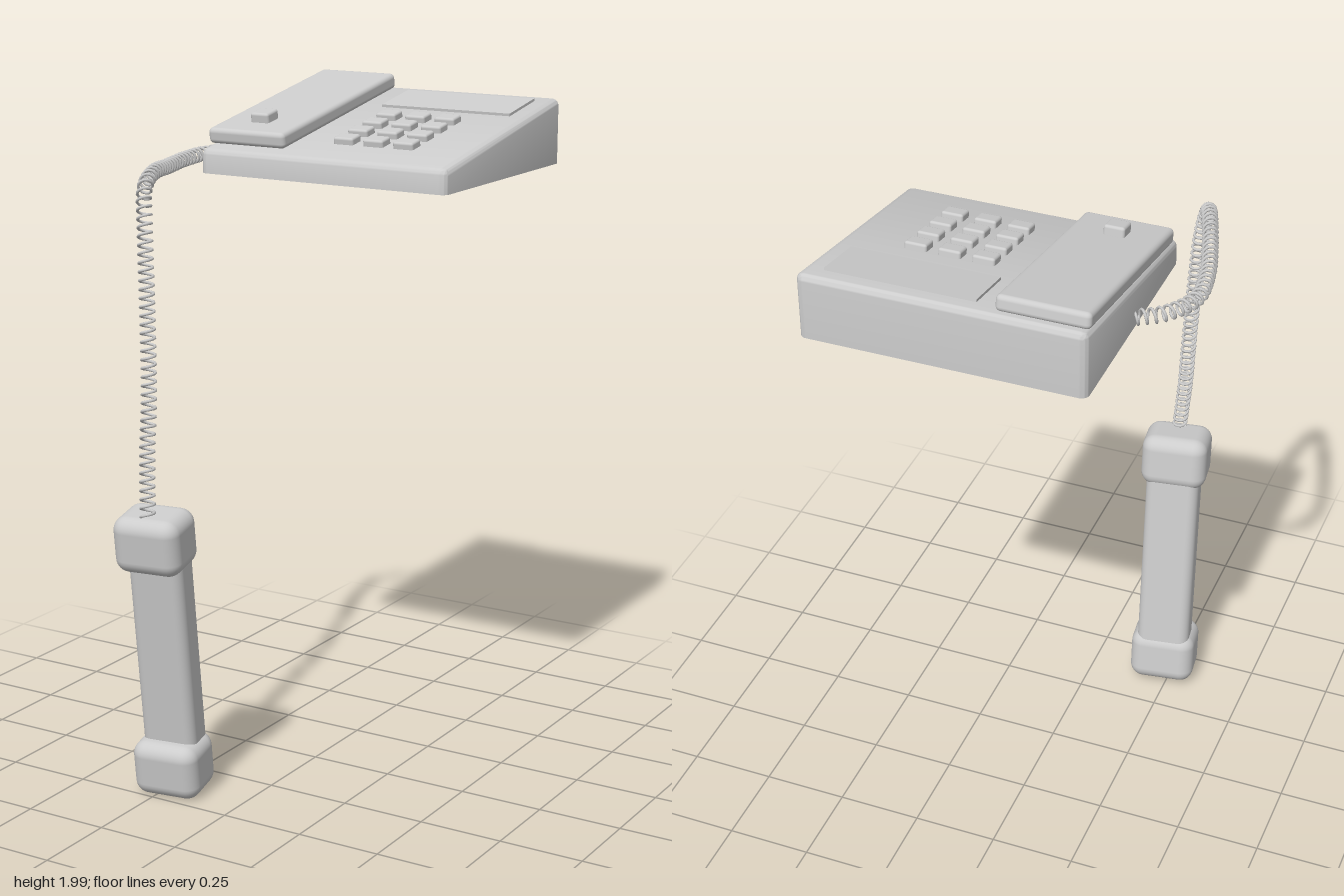
import * as THREE from 'three';
import { toCreasedNormals } from 'three/addons/utils/BufferGeometryUtils.js';
import { RoundedBoxGeometry } from 'three/addons/geometries/RoundedBoxGeometry.js';

const grey = new THREE.MeshStandardMaterial({ color: 0xcccccc });
grey.name = 'light grey plastic';

function add(parent, name, geometry, x = 0, y = 0, z = 0) {
  const mesh = new THREE.Mesh(geometry, grey);
  mesh.name = name;
  mesh.position.set(x, y, z);
  parent.add(mesh);
  return mesh;
}

const rounded = (w, h, d, r, segments = 3) => new RoundedBoxGeometry(w, h, d, segments, r);

const SLOPE = 0.173;

// Wedge body: a flat rounded box with its upper half raised towards the back
// and its lower half flattened to a sharp-edged underside.
function wedgeGeometry() {
  const w = 0.795, h = 0.07, d = 0.71;
  const geometry = rounded(w, h, d, 0.022, 4);
  const p = geometry.attributes.position;
  for (let i = 0; i < p.count; i++) {
    if (p.getY(i) > 0) p.setY(i, p.getY(i) + (d / 2 - p.getZ(i)) * SLOPE);
    else p.setY(i, -h / 2);
  }
  return toCreasedNormals(geometry, 0.7);
}

// Coil wound around a smooth centre line.
function coilGeometry(path, turns, radius, wire) {
  const steps = turns * 12;
  const frames = path.computeFrenetFrames(steps, false);
  const points = [];
  for (let i = 0; i <= steps; i++) {
    const a = (i / 12) * Math.PI * 2;
    const p = path.getPointAt(i / steps);
    p.addScaledVector(frames.normals[i], Math.cos(a) * radius);
    p.addScaledVector(frames.binormals[i], Math.sin(a) * radius);
    points.push(p);
  }
  // Piecewise path that passes exactly through the evenly spaced coil points
  const coil = new THREE.CatmullRomCurve3(points);
  coil.getPointAt = (t, target) => coil.getPoint(t, target);
  coil.getTangentAt = (t, target) => coil.getTangent(t, target);
  return new THREE.TubeGeometry(coil, steps, wire, 6, false);
}

export function createModel() {
  const model = new THREE.Group();
  model.name = 'deskTelephone';

  // Base
  add(model, 'base', wedgeGeometry(), 0.0725, 1.795, -0.255);

  // Everything that lies on the sloping top
  const deck = new THREE.Group();
  deck.name = 'slopingTop';
  deck.position.set(0, 1.847, 0);
  deck.rotation.x = Math.atan(SLOPE);
  model.add(deck);

  add(deck, 'handsetRest', rounded(0.255, 0.046, 0.655, 0.014), -0.1975, 0.024, -0.272);
  add(deck, 'hookLatch', rounded(0.06, 0.035, 0.06, 0.008), -0.2, 0.057, -0.059);
  add(deck, 'displayPanel', new THREE.BoxGeometry(0.42, 0.016, 0.162), 0.2, 0, -0.484);
  for (let row = 0; row < 4; row++) {
    for (let col = 0; col < 3; col++) {
      add(deck, 'key', rounded(0.064, 0.036, 0.05, 0.007),
        0.07 + col * 0.096, 0.002, -0.304 + row * 0.0815);
    }
  }

  // Hanging handset
  const handset = new THREE.Group();
  handset.name = 'handset';
  handset.position.set(-0.217, 0.44, 0.472);
  handset.rotation.set(0.136, 0.15, 0, 'YXZ');
  model.add(handset);
  add(handset, 'grip', rounded(0.165, 0.66, 0.108, 0.03, 4), 0, 0, -0.021);
  for (const side of [1, -1]) {
    const name = side > 0 ? 'earpiece' : 'mouthpiece';
    add(handset, name, rounded(0.202, 0.168, 0.165, 0.042, 4), 0, side * 0.355, 0);
  }

  // Coiled cord
  const path = new THREE.CatmullRomCurve3([
    [-0.31, 1.785, -0.255], [-0.39, 1.785, -0.2], [-0.442, 1.783, -0.1],
    [-0.433, 1.782, 0.02], [-0.395, 1.782, 0.16], [-0.345, 1.784, 0.31],
    [-0.315, 1.755, 0.39], [-0.283, 1.64, 0.438], [-0.257, 1.395, 0.47],
    [-0.24, 1.18, 0.495], [-0.225, 1.05, 0.528], [-0.2, 0.865, 0.567],
  ].map(p => new THREE.Vector3(...p)));
  path.arcLengthDivisions = 1000;
  add(model, 'coiledCord', coilGeometry(path, 68, 0.0195, 0.0042));

  return model;
}
